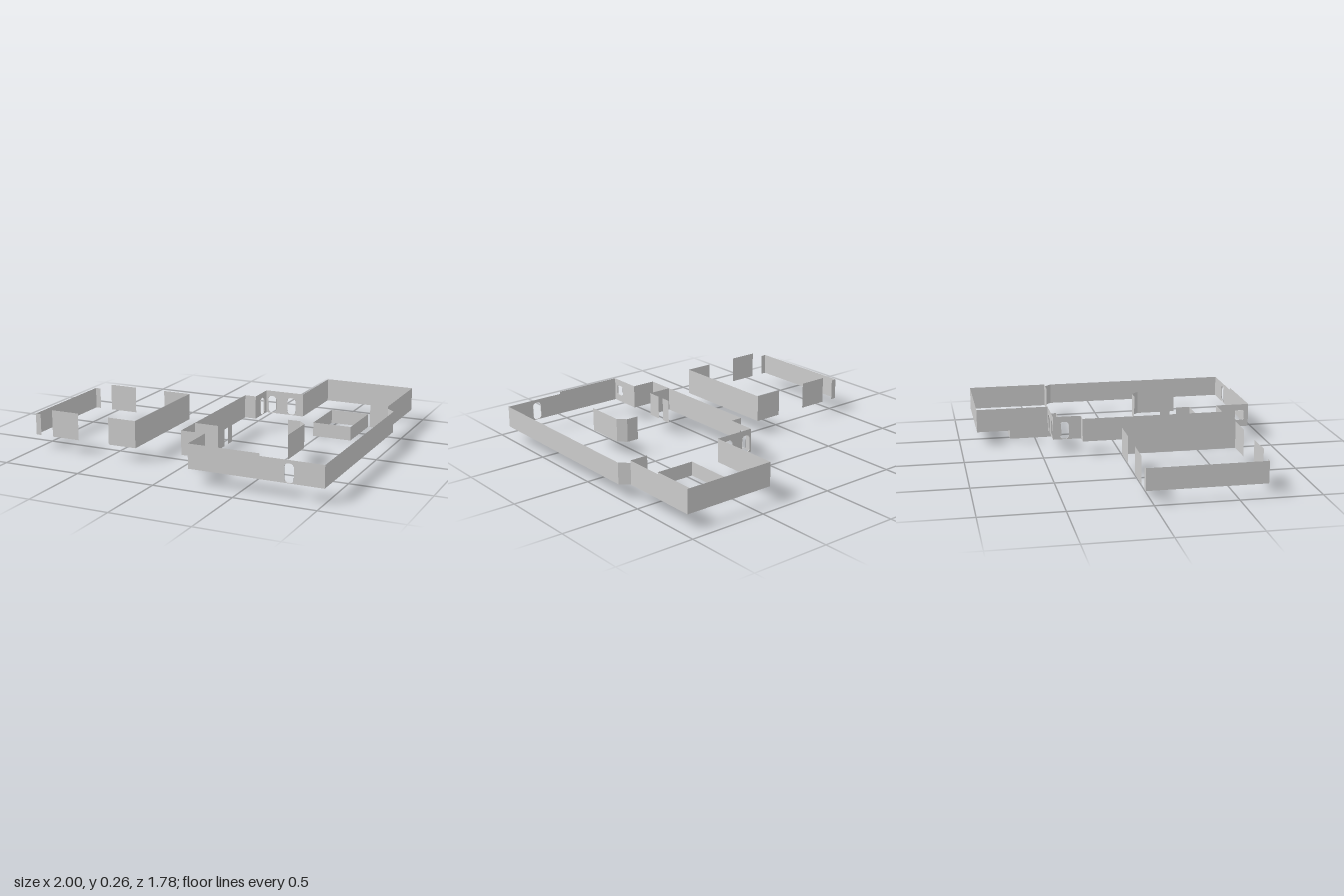
import * as THREE from 'three';

const FLOOR = 0.09, LOW = 0.225, MID = 0.24, HIGH = 0.26;
const material = new THREE.MeshStandardMaterial({ color: 0xcccccc, side: THREE.DoubleSide });

// rounded opening outline, from (u0, y0) to (u1, y1)
function openingPath([u0, u1, y0, y1, r]) {
  const p = new THREE.Path();
  p.absarc(u0 + r, y0 + r, r, -Math.PI / 2, -Math.PI, true);
  p.absarc(u0 + r, y1 - r, r, Math.PI, Math.PI / 2, true);
  p.absarc(u1 - r, y1 - r, r, Math.PI / 2, 0, true);
  p.absarc(u1 - r, y0 + r, r, 0, -Math.PI / 2, true);
  p.closePath();
  return p;
}

// shallow strip lining an opening
function revealGeometry(path, depth) {
  const pts = path.getPoints(6);
  const geo = new THREE.PlaneGeometry(1, 1, pts.length - 1, 1);
  const pos = geo.attributes.position;
  for (let i = 0; i < pos.count; i++) {
    const q = pts[i % pts.length];
    pos.setXYZ(i, q.x, q.y, i < pts.length ? depth / 2 : -depth / 2);
  }
  geo.computeVertexNormals();
  return geo;
}

// thin upright wall between two plan points [x, z]
function wall(name, a, b, top, { base = FLOOR, openings = [] } = {}) {
  const dx = b[0] - a[0], dz = b[1] - a[1], length = Math.hypot(dx, dz);
  const shape = new THREE.Shape([
    new THREE.Vector2(0, base), new THREE.Vector2(length, base),
    new THREE.Vector2(length, top), new THREE.Vector2(0, top),
  ]);
  const group = new THREE.Group();
  group.name = name;
  for (const o of openings) {
    const path = openingPath(o);
    shape.holes.push(path);
    const reveal = new THREE.Mesh(revealGeometry(path, 0.006), material);
    reveal.name = 'openingReveal';
    group.add(reveal);
  }
  const panel = new THREE.Mesh(new THREE.ShapeGeometry(shape, 6), material);
  panel.name = 'wallPanel';
  group.add(panel);
  group.position.set(a[0], 0, a[1]);
  group.rotation.y = Math.atan2(-dz, dx);
  return group;
}

// run of walls through several plan points
function wallRun(name, points, top, options) {
  const group = new THREE.Group();
  group.name = name;
  for (let i = 0; i < points.length - 1; i++) {
    group.add(wall(name + 'Segment', points[i], points[i + 1], top, options));
  }
  return group;
}

export function createModel() {
  const model = new THREE.Group();
  model.name = 'floorPlanWalls';

  // main building, front
  model.add(
    wall('frontWallTall', [0.17, 0.89], [0.613, 0.89], MID),
    wall('frontWallLow', [0.613, 0.89], [1, 0.89], LOW,
      { openings: [[0.15, 0.207, 0.094, 0.205, 0.022]] }),
    wall('frontReturnWall', [0.17, 0.67], [0.17, 0.89], MID,
      { openings: [[0.13, 0.19, 0.135, 0.2, 0.012]] }),
  );

  // main building, left side with the recessed arched entrance
  model.add(
    wallRun('sideWall', [[0.17, 0.67], [0.015, 0.67], [0.015, -0.245], [0.09, -0.245]], MID),
    wall('entranceSideWall', [0.09, -0.245], [0.09, -0.425], MID,
      { openings: [[0.078, 0.135, 0.094, 0.205, 0.022]] }),
    wall('entranceBackWall', [0.09, -0.425], [0.35, -0.425], MID,
      { openings: [[0.013, 0.07, 0.094, 0.205, 0.022], [0.15, 0.207, 0.094, 0.205, 0.022]] }),
  );

  // main building, rear hall and right side
  model.add(
    wallRun('rearHallWall',
      [[0.35, -0.425], [0.35, -0.89], [0.947, -0.89], [0.947, -0.37], [0.83, -0.37]], MID),
    wallRun('rightWall', [[0.947, -0.37], [1, -0.32], [1, 0.89]], LOW),
  );

  // interior partitions
  model.add(
    wallRun('closetPartition', [[0.015, 0.49], [0.17, 0.49], [0.17, 0.4]], MID),
    wall('closetPost', [0.17, 0.355], [0.17, 0.293], MID),
    wallRun('angledPartition', [[0.62, 0.49], [0.62, 0.233], [0.573, 0.186], [0.495, 0.186]], MID),
  );

  // sunken pit below floor level
  model.add(wallRun('pitWall',
    [[0.465, -0.32], [0.72, -0.32], [0.72, -0.665], [0.465, -0.665], [0.465, -0.32]],
    FLOOR, { base: 0 }));

  // separate side room with gaps in its front and back
  model.add(
    wallRun('sideRoomInnerWall',
      [[-0.48, 0.67], [-0.295, 0.67], [-0.295, -0.05], [-0.48, -0.05]], HIGH),
    wallRun('sideRoomOuterWall',
      [[-0.965, 0.67], [-1, 0.67], [-1, -0.05], [-0.965, -0.05]], LOW),
  );
  for (const z of [0.67, -0.05]) {
    model.add(wall('sideRoomPanel', [-0.88, z], [-0.693, z], HIGH));
  }
  return model;
}
